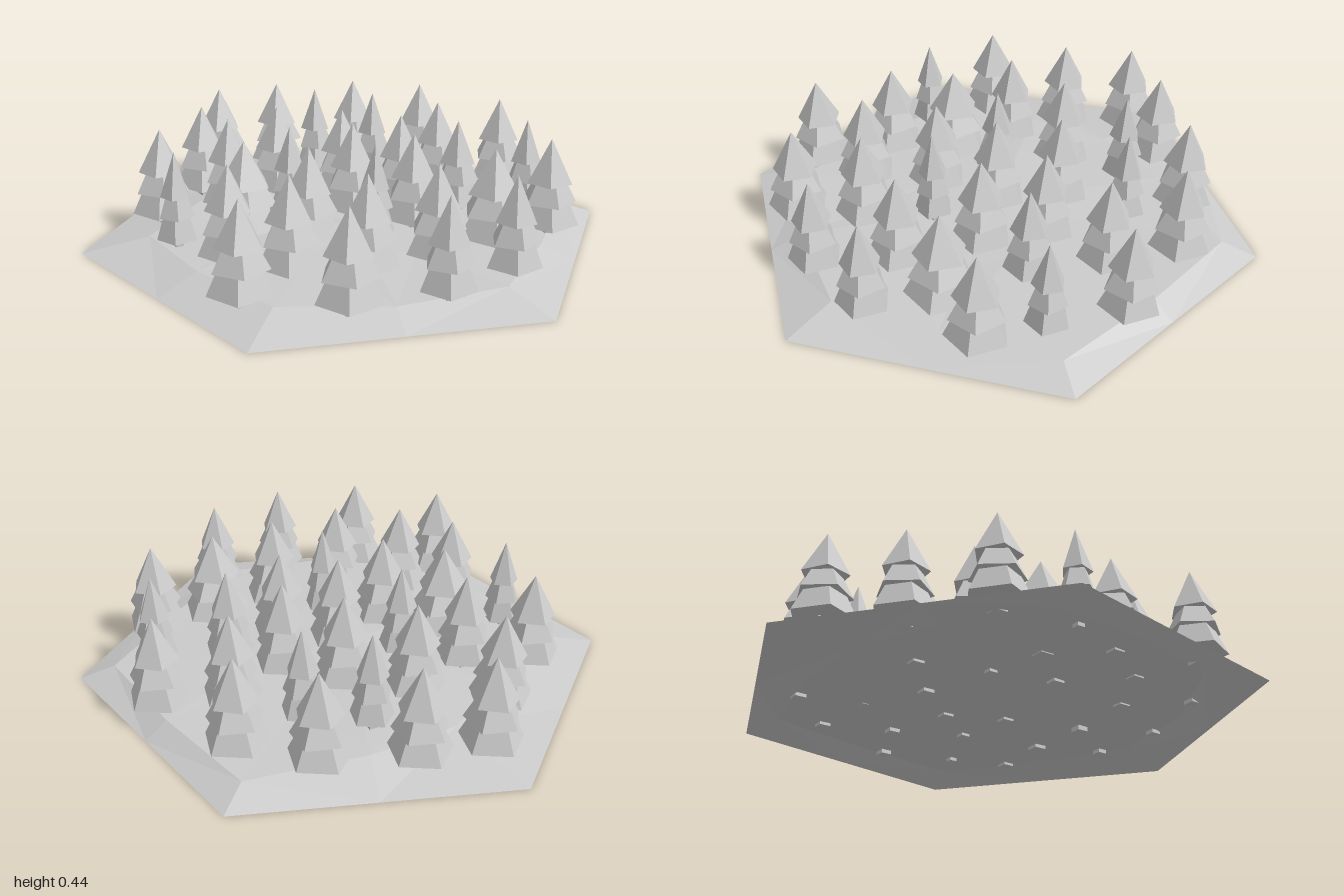
import * as THREE from 'three';

const grey = new THREE.MeshStandardMaterial({ color: 0xcccccc, flatShading: true });
const thin = new THREE.MeshStandardMaterial({ color: 0xcccccc, flatShading: true, side: THREE.DoubleSide });

// x, z, width factor, lift
const trees = [
  [-0.01, -0.80, 1, 0], [0.22, -0.70, 1, 0], [-0.22, -0.63, 1, 0], [-0.51, -0.49, 1, 0],
  [0.24, -0.47, 0.7, 0.02], [0.50, -0.52, 1, 0], [-0.28, -0.37, 0.95, 0.02], [-0.02, -0.40, 1, 0.01],
  [0.40, -0.29, 0.7, 0.01], [0.67, -0.28, 1, 0], [-0.62, -0.23, 0.65, 0], [-0.38, -0.14, 1.15, 0.01],
  [-0.15, -0.16, 0.72, 0.01], [0.15, -0.20, 1, 0.01], [-0.57, 0.02, 1, 0.01], [-0.25, 0.07, 1, 0.01],
  [0.015, 0.01, 1, 0.03], [0.27, 0.01, 0.97, 0.01], [0.53, -0.04, 0.97, 0], [0.75, 0.10, 0.97, 0],
  [-0.72, 0.28, 1, 0], [-0.48, 0.24, 1, 0.01], [-0.085, 0.24, 0.63, 0.03], [0.14, 0.21, 1, 0.01],
  [0.38, 0.21, 0.82, 0.01], [0.61, 0.36, 0.7, 0], [-0.28, 0.41, 1, 0.01], [-0.01, 0.48, 1, 0],
  [0.25, 0.51, 1.15, 0], [0.49, 0.57, 1, 0], [-0.50, 0.56, 1, 0], [-0.20, 0.71, 0.86, 0], [0.10, 0.735, 0.86, 0],
];

// One foliage tier or trunk section between two heights
function section(name, rTop, rBottom, y0, y1, sides, turn) {
  const geo = new THREE.CylinderGeometry(rTop, rBottom, y1 - y0, sides, 1);
  geo.rotateY(turn).translate(0, (y0 + y1) / 2, 0);
  const mesh = new THREE.Mesh(geo, grey);
  mesh.name = name;
  return mesh;
}

function makeTree() {
  const tree = new THREE.Group();
  tree.name = 'tree';
  const up = Math.PI - 0.1;
  tree.add(
    section('trunk', 0.032, 0.032, 0.035, 0.1, 4, 0.6),
    section('lowerFoliage', 0.075, 0.117, 0.08, 0.17, 5, up),
    section('middleFoliage', 0.06, 0.102, 0.165, 0.245, 5, up + 0.22),
    section('upperFoliage', 0, 0.086, 0.24, 0.405, 5, up - 0.12),
  );
  return tree;
}

// Hexagonal mound: straight rim, raised irregular rings, closed at the centre
function makeGround() {
  const n = 12;
  const shoulder = [0.8, 0.74, 0.87, 0.78, 0.87, 0.68, 0.64, 0.62, 0.75, 0.7, 0.78, 0.75];
  const shoulderY = [0.052, 0.045, 0.045, 0.052, 0.045, 0.05, 0.045, 0.05, 0.048, 0.05, 0.052, 0.048];
  const innerY = [0.055, 0.048, 0.058, 0.05, 0.046, 0.057, 0.052, 0.06, 0.048, 0.056, 0.05, 0.058];
  const pos = [], index = [];
  for (let ring = 0; ring < 3; ring++) {
    for (let i = 0; i < n; i++) {
      const a = (i * Math.PI) / 6;
      const r = [i % 2 ? Math.sqrt(0.75) : 1, shoulder[i], 0.38 + 0.07 * Math.sin(i * 2.3)][ring];
      pos.push(r * Math.sin(a), [0, shoulderY[i], innerY[i]][ring], r * Math.cos(a));
    }
  }
  pos.push(0.03, 0.06, 0.02);
  for (let i = 0; i < n; i++) {
    const j = (i + 1) % n;
    for (let k = 0; k < 2 * n; k += n) {
      // Diagonals alternate for a faceted look
      if (i % 2) index.push(k + i, k + j, k + n + j, k + i, k + n + j, k + n + i);
      else index.push(k + i, k + j, k + n + i, k + j, k + n + j, k + n + i);
    }
    index.push(2 * n + i, 2 * n + j, 3 * n);
  }
  const geo = new THREE.BufferGeometry();
  geo.setAttribute('position', new THREE.Float32BufferAttribute(pos, 3));
  geo.setIndex(index);
  geo.computeVertexNormals();
  const mesh = new THREE.Mesh(geo, thin);
  mesh.name = 'ground';
  return mesh;
}

export function createModel() {
  const model = new THREE.Group();
  model.name = 'forestTile';
  model.add(makeGround());

  const forest = new THREE.Group();
  forest.name = 'forest';
  const base = makeTree();
  for (const [x, z, width, lift] of trees) {
    const tree = base.clone();
    tree.position.set(x, lift, z);
    tree.scale.set(width, 1, width);
    forest.add(tree);
  }
  model.add(forest);
  return model;
}
